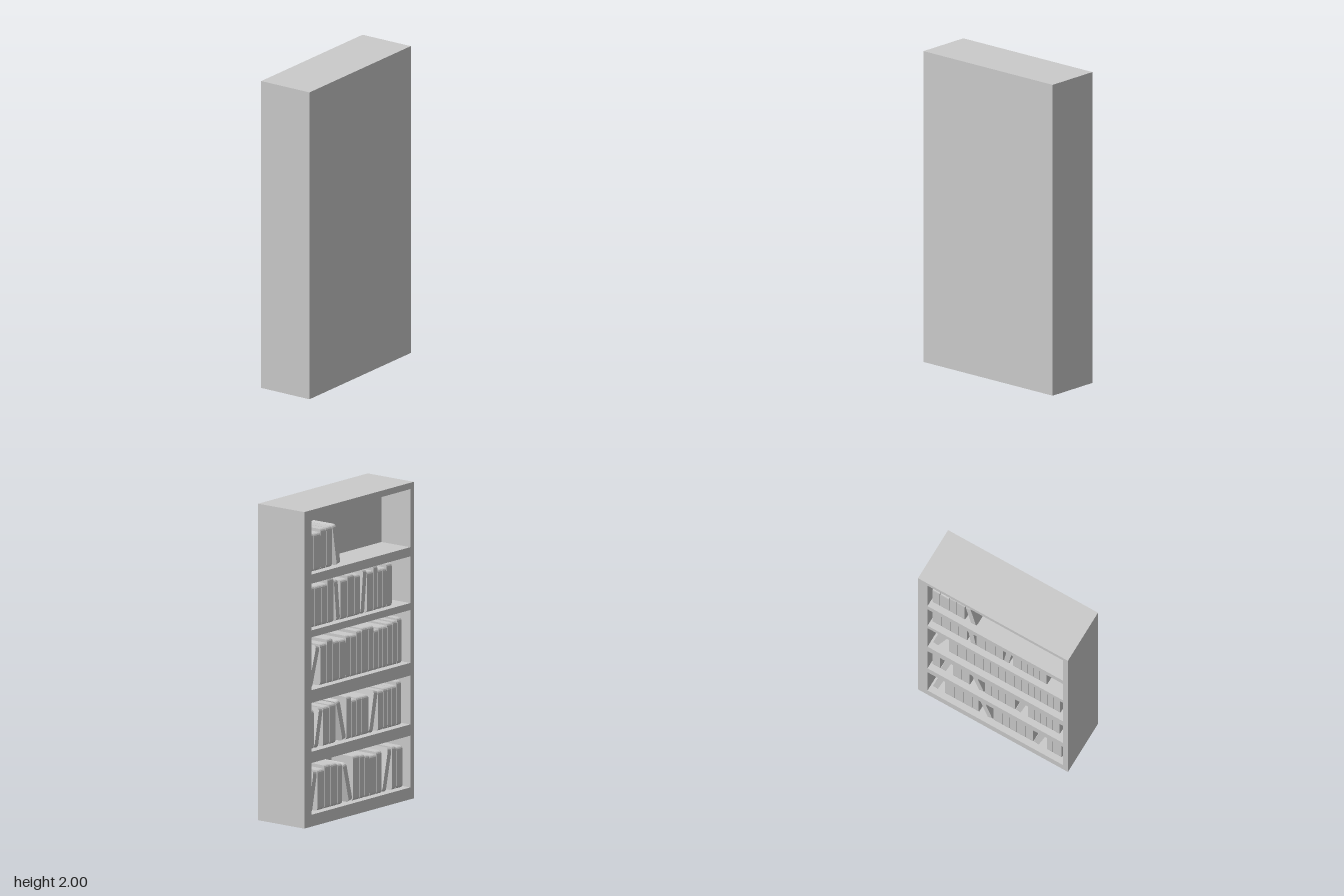
import * as THREE from 'three';

const material = new THREE.MeshStandardMaterial({ color: 0xcccccc });

const X0 = -0.183, X1 = 0.183, BACK = 0.045;   // open face, rear face, inner back wall
const Z0 = -0.535, Z1 = 0.535;                 // outer sides
const IN0 = -0.467, IN1 = 0.5;                 // inner sides

function box(name, x0, x1, y0, y1, z0, z1) {
  const mesh = new THREE.Mesh(new THREE.BoxGeometry(x1 - x0, y1 - y0, z1 - z0), material);
  mesh.position.set((x0 + x1) / 2, (y0 + y1) / 2, (z0 + z1) / 2);
  mesh.name = name;
  return mesh;
}

// Repeatable variation between 0 and 1
function seeded(seed) {
  return () => {
    seed = (seed * 16807) % 2147483647;
    return seed / 2147483647;
  };
}

// Book: side outline with rounded spine corners, extruded through its thickness.
// Origin is the middle of its foot; the spine faces -x.
function book(thickness, height, depth) {
  const r = 0.025;
  const s = new THREE.Shape();
  s.moveTo(r, 0);
  s.lineTo(depth, 0);
  s.lineTo(depth, height);
  s.lineTo(r, height);
  s.quadraticCurveTo(0, height, 0, height - r);
  s.lineTo(0, r);
  s.quadraticCurveTo(0, 0, r, 0);
  const g = new THREE.ExtrudeGeometry(s, { depth: thickness, bevelEnabled: false, curveSegments: 4 });
  g.translate(0, 0, -thickness / 2);
  return new THREE.Mesh(g, material);
}

// Shelf slabs, bottom to top: [underside, upper side]
const slabs = [[0, 0.075], [0.402, 0.473], [0.782, 0.862], [1.196, 1.24], [1.535, 1.593], [1.96, 2]];

// Book rows, bottom to top: where the row ends, lowest book, and leaning books as [place, tilt]
const rows = [
  { end: 0.96, low: 0.25, leans: [[0, 0.2], [0.34, -0.25], [0.7, 0.22]] },
  { end: 0.93, low: 0.24, leans: [[0.06, 0.2], [0.28, -0.25], [0.59, 0.2]] },
  { end: 0.925, low: 0.25, leans: [[0, 0.3]] },
  { end: 0.83, low: 0.245, leans: [[0.28, -0.1], [0.5, 0.1]] },
  { end: 0.32, low: 0.225, leans: [[0.22, -0.17]] },
];

// Fills a shelf from one side, leaving room for each book that leans
function bookRow({ end, low, leans }, floor, seed) {
  const group = new THREE.Group();
  const random = seeded(seed);
  let z = 0.015, next = 0;
  while (z < end - 0.03) {
    const height = low + 0.04 * random();
    let thickness = Math.min(0.035 + 0.03 * random(), end - z);
    let tilt = 0;
    if (next < leans.length && z > leans[next][0] - 0.02) {
      tilt = leans[next++][1];
      thickness = 0.035;
    }
    const reach = height * Math.sin(Math.abs(tilt));
    const foot = z + thickness / 2 + (tilt < 0 ? reach : 0);
    const b = book(thickness, height, 0.165 + 0.025 * random());
    b.name = 'book' + (group.children.length + 1);
    b.rotation.x = tilt;
    b.position.set(X0 + 0.035, floor + Math.sin(Math.abs(tilt)) * thickness / 2, IN0 + foot);
    group.add(b);
    z += thickness + reach + 0.004;
  }
  return group;
}

export function createModel() {
  const model = new THREE.Group();
  model.name = 'bookcase';

  // Carcass
  model.add(box('backPanel', BACK, X1, 0, 2, Z0, Z1));
  model.add(box('rightSidePanel', X0, BACK, 0, 2, Z0, IN0));
  model.add(box('leftSidePanel', X0, BACK, 0, 2, IN1, Z1));
  slabs.forEach(([y0, y1], i) => {
    const name = i === 0 ? 'base' : i === slabs.length - 1 ? 'topPanel' : 'shelf' + i;
    model.add(box(name, X0, BACK, y0, y1, IN0, IN1));
  });

  // Rows of books
  rows.forEach((row, i) => {
    const group = bookRow(row, slabs[i][1], 7919 * (i + 3));
    group.name = 'bookRow' + (i + 1);
    model.add(group);
  });
  return model;
}
